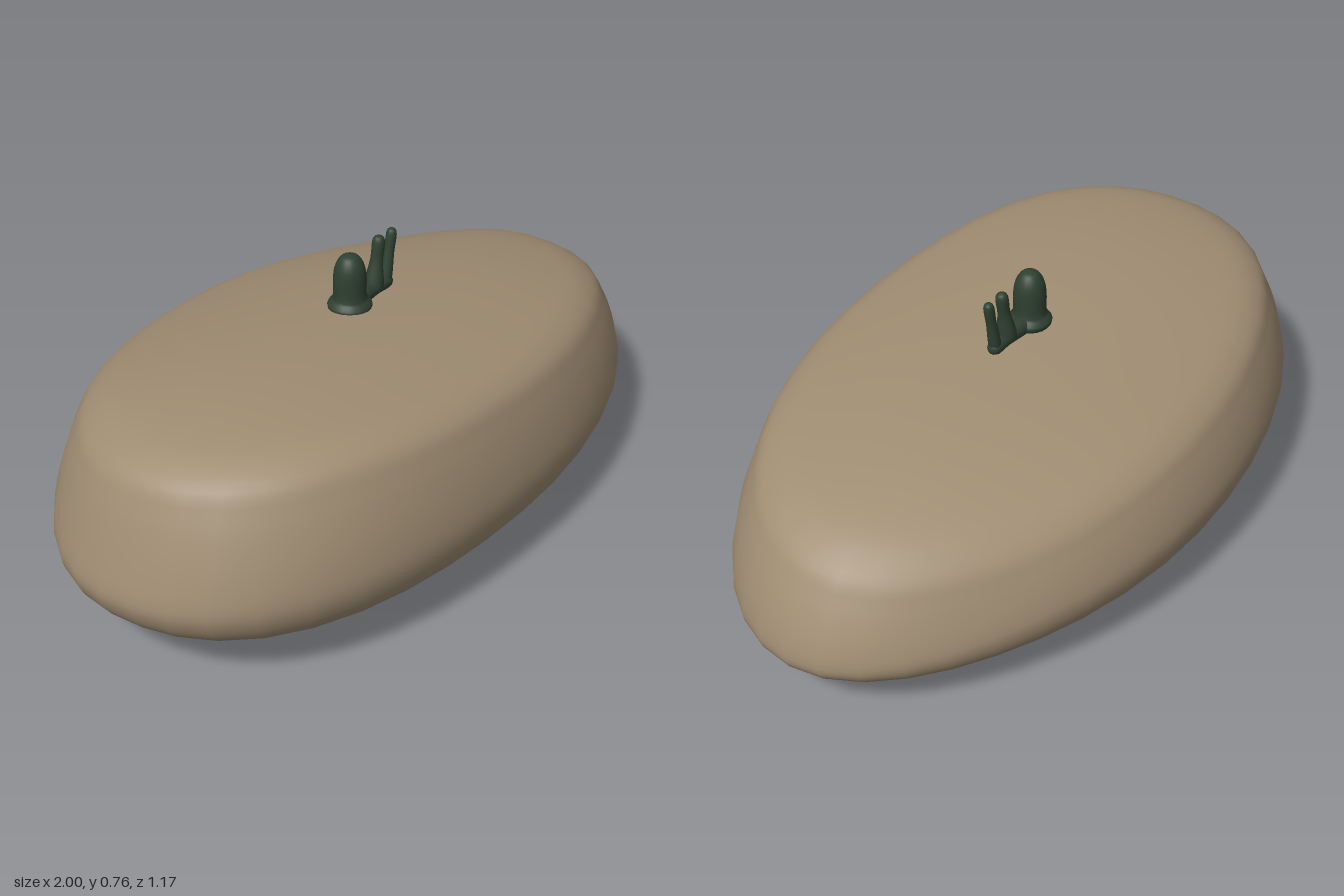
import * as THREE from 'three';
import { mergeVertices } from 'three/addons/utils/BufferGeometryUtils.js';

const stone = new THREE.MeshStandardMaterial({ color: 0x9f8c72 });
const green = new THREE.MeshStandardMaterial({ color: 0x2f4030 });

// Lathe of [radius, height] points, smoothed along a spline.
function turned(points, samples, sides) {
  const curve = new THREE.CatmullRomCurve3(points.map(([r, y]) => new THREE.Vector3(r, y, 0)), false, 'centripetal');
  const profile = curve.getPoints(samples).map((p) => new THREE.Vector2(Math.max(p.x, 0), p.y));
  return new THREE.LatheGeometry(profile, sides);
}

// Moves every vertex by a rule, welds the seam and recomputes smooth normals.
function reshape(geometry, rule) {
  const pos = geometry.attributes.position;
  const v = new THREE.Vector3();
  for (let i = 0; i < pos.count; i++) {
    rule(v.fromBufferAttribute(pos, i));
    pos.setXYZ(i, v.x, v.y, v.z);
  }
  geometry.deleteAttribute('uv');
  geometry.deleteAttribute('normal');
  const welded = mergeVertices(geometry, 1e-5);
  welded.computeVertexNormals();
  return welded;
}

function part(name, geometry, material) {
  const mesh = new THREE.Mesh(geometry, material);
  mesh.name = name;
  return mesh;
}

// Sloping, slightly domed top that sinks at the back left, and the height of the widest belt.
function topHeight(x, z) {
  const sink = x > 0 && z < 0 ? (x * z) ** 2 : 0;
  return 0.604 - 0.08 * x - 0.05 * x * x - 0.1 * x ** 4 + 0.08 * z - 0.32 * z * z - sink;
}
const beltHeight = (x, z) => 0.22 - 0.04 * x + 0.02 * z + 0.15 * z * z;
const BOTTOM = 0.055;

// Boulder profile: height -1 is the underside, 0 the belt, 1 the top.
function boulder() {
  const geometry = turned([
    [0, -1], [0.3, -1], [0.55, -0.99], [0.75, -0.87], [0.88, -0.68], [0.95, -0.48], [0.985, -0.27],
    [1, 0], [0.987, 0.28], [0.96, 0.54], [0.925, 0.76], [0.885, 0.92], [0.82, 0.985],
    [0.74, 1], [0.5, 1], [0.25, 1], [0, 1],
  ], 56, 40);
  return reshape(geometry, (v) => {
    const h = THREE.MathUtils.clamp(v.y, -1, 1);
    // fuller at the front-right quarter, leaner at the opposite one
    const lobe = Math.max(0, -v.x * v.z) ** 2;
    const swell = 1 + lobe * (v.z > v.x ? 0.27 : -0.15);
    // the tip of the right end leans inward above the belt
    const lean = v.x < 0 && h > 0 ? 1 - 0.014 * v.x ** 4 * Math.sin(Math.PI * h) : 1;
    v.x *= swell * lean;
    v.z *= swell * 0.585;
    const belt = beltHeight(v.x, v.z);
    v.y = h < 0 ? belt + h * (belt - BOTTOM) : belt + h * (topHeight(v.x, v.z) - belt);
  });
}

// Shallow oval foot under the boulder.
function foot() {
  const geometry = turned([[0, 0], [0.4, 0.003], [0.7, 0.012], [0.89, 0.033], [0.98, 0.065], [1, 0.1]], 24, 40);
  return reshape(geometry, (v) => {
    v.x = v.x * 0.57 + 0.01;
    v.z = v.z * 0.38 - 0.04;
  });
}

// Round-tipped stalk leaning from one point to another.
function stalk(name, from, to, bottomRadius, topRadius) {
  const a = new THREE.Vector3(...from), b = new THREE.Vector3(...to);
  const dir = b.clone().sub(a), len = dir.length();
  const geometry = turned([
    [0, -bottomRadius * 0.6], [bottomRadius * 0.8, -bottomRadius * 0.3], [bottomRadius, 0.01],
    [topRadius, len * 0.55], [topRadius, len - topRadius], [topRadius * 0.7, len - topRadius * 0.3], [0, len],
  ], 20, 14);
  const mesh = part(name, geometry, green);
  mesh.position.copy(a);
  mesh.quaternion.setFromUnitVectors(new THREE.Vector3(0, 1, 0), dir.normalize());
  return mesh;
}

export function createModel() {
  const model = new THREE.Group();
  model.name = 'boulderWithSprout';
  model.add(part('boulder', boulder(), stone), part('foot', foot(), stone));

  // Small green growth on the top: a domed stem, a runner and two shoots.
  const sprout = new THREE.Group();
  sprout.name = 'sprout';
  const stem = part('stem', turned([
    [0, -0.015], [0.05, -0.01], [0.06, 0.008], [0.055, 0.018], [0.046, 0.03],
    [0.044, 0.09], [0.038, 0.125], [0.022, 0.15], [0, 0.157],
  ], 32, 20), green);
  stem.position.set(-0.03, 0.605, 0.005);
  sprout.add(
    stem,
    stalk('runner', [0, 0.613, 0.003], [0.15, 0.609, 0.003], 0.026, 0.02),
    stalk('innerShoot', [0.075, 0.612, 0.003], [0.1, 0.762, 0.003], 0.027, 0.017),
    stalk('outerShoot', [0.128, 0.612, 0.003], [0.157, 0.76, 0.003], 0.017, 0.014),
  );
  model.add(sprout);
  return model;
}
